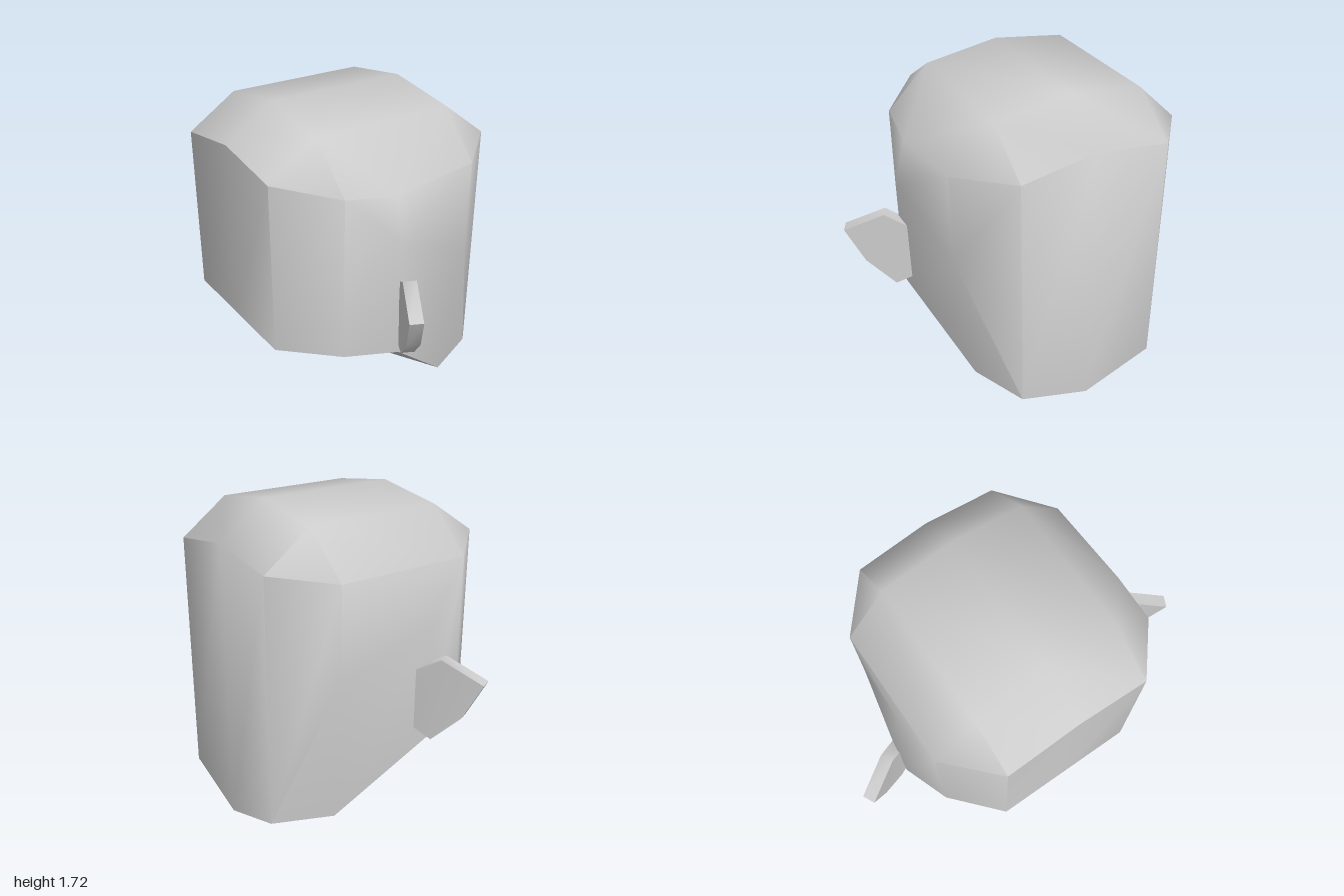
import * as THREE from 'three';
import { toCreasedNormals } from 'three/addons/utils/BufferGeometryUtils.js';

const material = new THREE.MeshStandardMaterial({ color: 0xcccccc });

// Turns named points and convex polygons into triangles, optionally mirrored in z
function polygons(points, faces, mirror, crease) {
  const pos = [];
  const put = (name, s) => {
    const [x, y, z] = points[name];
    pos.push(x, y, z * s);
  };
  const add = (face, s) => {
    const f = s < 0 ? [...face].reverse() : face;
    for (let i = 1; i < f.length - 1; i++) [f[0], f[i], f[i + 1]].forEach((n) => put(n, s));
  };
  for (const s of mirror) for (const face of faces) add(face, s);
  const g = new THREE.BufferGeometry();
  g.setAttribute('position', new THREE.Float32BufferAttribute(pos, 3));
  return toCreasedNormals(g, crease);
}

function mesh(name, geometry) {
  const m = new THREE.Mesh(geometry, material);
  m.name = name;
  return m;
}

// Head: one half, mirrored across z = 0; the face looks along +x
function headGeometry() {
  const p = {
    backTop: [-0.645, 1.55, 0], backBase: [-0.645, 0.59, 0],
    ridgeBack: [-0.385, 1.72, 0], ridgeFront: [0.385, 1.72, 0],
    faceTop: [0.64, 1.53, 0], chin: [0.64, 0, 0],
    throat: [0.245, 0, 0], neck: [-0.12, 0.56, 0],
    crownBack: [-0.385, 1.66, 0.4], crownFront: [0.385, 1.66, 0.4],
    aTop: [-0.645, 1.49, 0.4], aBase: [-0.645, 0.59, 0.4],
    bTop: [-0.385, 1.44, 0.63], bBase: [-0.385, 0.58, 0.63],
    cUpper: [-0.11, 1.4, 0.66], cTop: [-0.11, 1.17, 0.725], cBase: [-0.12, 0.56, 0.725],
    dTop: [0.37, 1.44, 0.63], dMid: [0.37, 0.95, 0.63], dBase: [0.335, 0.14, 0.53],
    eTop: [0.64, 1.47, 0.4], eBase: [0.64, 0.14, 0.4],
  };
  const faces = [
    // back, side and face walls
    'backBase aBase aTop backTop',
    'aBase bBase bTop aTop',
    'bBase cBase cTop bTop',
    'bTop cTop cUpper',
    'cBase dBase dMid cTop',
    'cTop dMid dTop cUpper',
    'dBase eBase dMid',
    'dMid eBase eTop dTop',
    'eBase chin faceTop eTop',
    // crown
    'aTop bTop crownBack',
    'dTop eTop crownFront',
    'cUpper dTop crownFront crownBack bTop',
    'crownBack crownFront ridgeFront ridgeBack',
    'aTop crownBack ridgeBack backTop',
    'crownFront eTop faceTop ridgeFront',
    // underside of skull and jaw
    'backBase neck cBase bBase aBase',
    'neck throat cBase',
    'cBase throat dBase',
    'dBase throat chin eBase',
  ].map((f) => f.split(' '));
  return polygons(p, faces, [1, -1], 0.95);
}

// Ear: a thin bent plate with a six-cornered outline
function earGeometry(side) {
  const outline = [
    [-0.035, 0.94, 0.7], [-0.095, 1.015, 0.81], [-0.2, 0.92, 1],
    [-0.145, 0.73, 0.92], [-0.07, 0.58, 0.79], [-0.035, 0.62, 0.7],
  ];
  const p = {};
  outline.forEach(([x, y, z], i) => {
    p['f' + i] = [x, y, z];
    p['b' + i] = [x - 0.062, y, z - 0.03];
  });
  const faces = [
    ['f0', 'f1', 'f4', 'f5'], ['f1', 'f2', 'f3', 'f4'],
    ['b5', 'b4', 'b1', 'b0'], ['b4', 'b3', 'b2', 'b1'],
  ];
  for (let i = 0; i < 6; i++) {
    const j = (i + 1) % 6;
    faces.push(['f' + i, 'b' + i, 'b' + j, 'f' + j]);
  }
  return polygons(p, faces, [side], 1.0);
}

export function createModel() {
  const group = new THREE.Group();
  group.name = 'blockyHead';
  group.add(mesh('head', headGeometry()));
  group.add(mesh('frontEar', earGeometry(1)));
  group.add(mesh('backEar', earGeometry(-1)));
  return group;
}
